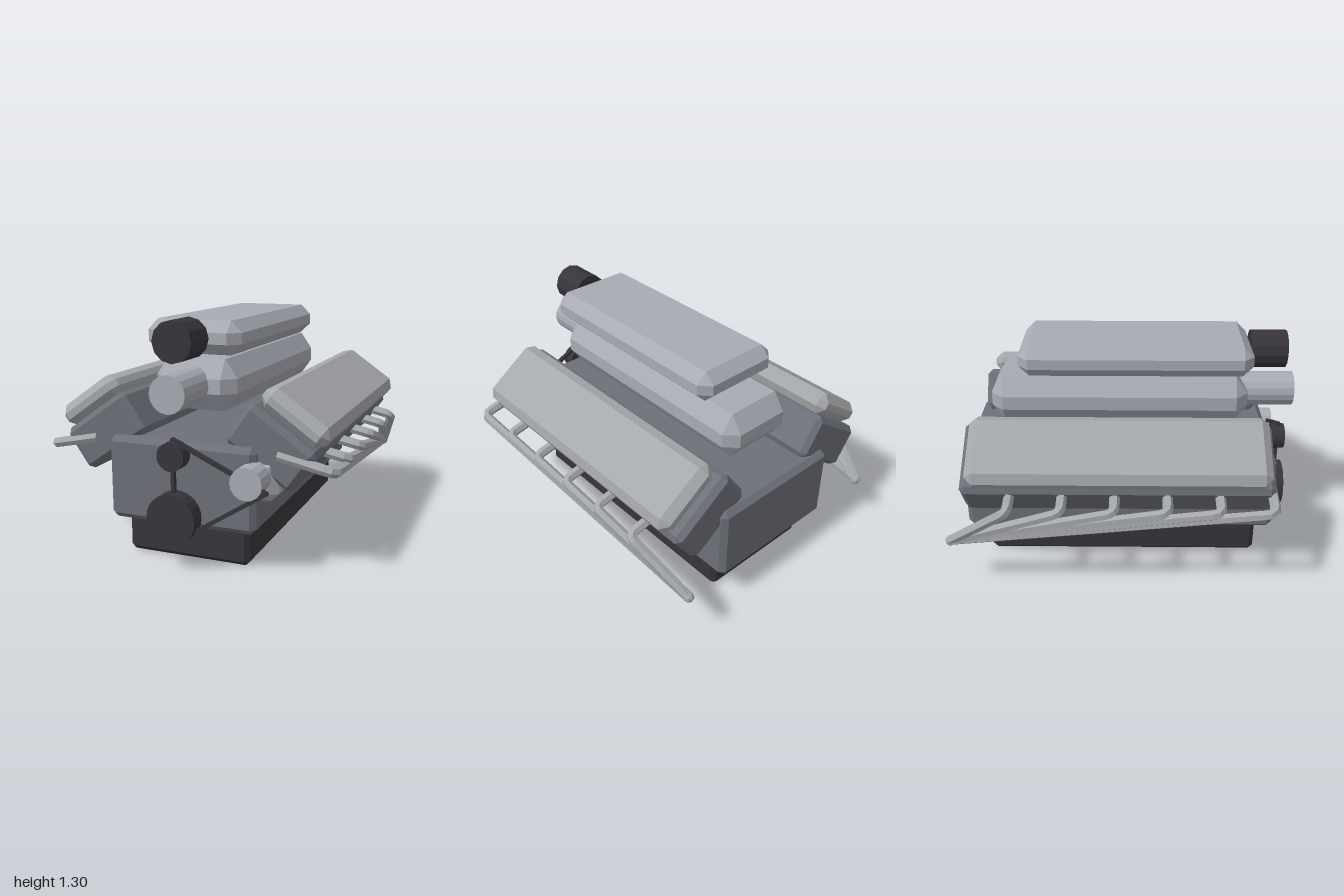
import * as THREE from 'three';
import { ConvexGeometry } from 'three/addons/geometries/ConvexGeometry.js';

function material(name, color) {
  const m = new THREE.MeshStandardMaterial({ color, flatShading: true });
  m.name = name;
  return m;
}

// Box with every edge chamfered, spanning w x h x d around its centre
function chamferBox(w, h, d, bx, by = bx, bz = bx) {
  const points = [];
  for (const x of [-1, 1]) for (const y of [-1, 1]) for (const z of [-1, 1]) {
    const X = w / 2, Y = h / 2, Z = d / 2;
    points.push(
      new THREE.Vector3(x * X, y * (Y - by), z * (Z - bz)),
      new THREE.Vector3(x * (X - bx), y * Y, z * (Z - bz)),
      new THREE.Vector3(x * (X - bx), y * (Y - by), z * Z));
  }
  return new ConvexGeometry(points);
}

// Tube through straight runs joined by small rounded bends
function bentPipe(points, bend, radius, segments) {
  const path = new THREE.CurvePath();
  let from = points[0];
  for (let i = 1; i < points.length - 1; i++) {
    const p = points[i];
    const a = p.clone().add(points[i - 1].clone().sub(p).setLength(bend));
    const b = p.clone().add(points[i + 1].clone().sub(p).setLength(bend));
    path.add(new THREE.LineCurve3(from, a));
    path.add(new THREE.QuadraticBezierCurve3(a, p, b));
    from = b;
  }
  path.add(new THREE.LineCurve3(from, points[points.length - 1]));
  return new THREE.TubeGeometry(path, segments, radius, 6, false);
}

export function createModel() {
  const castIron = material('castIron', 0x6d7079);
  const alloy = material('alloy', 0xa8abb4);
  const steel = material('steel', 0xa5a8ab);
  const black = material('blackRubber', 0x37353b);

  const model = new THREE.Group();
  model.name = 'engine';

  function add(name, geometry, mat, x = 0, y = 0, z = 0, parent = model) {
    const mesh = new THREE.Mesh(geometry, mat);
    mesh.name = name;
    mesh.position.set(x, y, z);
    parent.add(mesh);
    return mesh;
  }
  // Cylinder lying along z from z0 to z1
  function addDrum(name, radius, z0, z1, sides, mat, x, y) {
    const g = new THREE.CylinderGeometry(radius, radius, z1 - z0, sides);
    g.rotateX(Math.PI / 2);
    return add(name, g, mat, x, y, (z0 + z1) / 2);
  }

  // Block and oil pan
  add('oilPan', chamferBox(0.71, 0.21, 1.6, 0.025), black, 0, 0.105, -0.01);
  add('engineBlock', chamferBox(0.84, 0.46, 1.81, 0.03), castIron, 0, 0.44, -0.027);

  // Intake plenums with their inlets
  add('lowerPlenum', chamferBox(0.47, 0.28, 1.49, 0.07, 0.1, 0.07), alloy, 0, 0.94, -0.03);
  addDrum('throttleBody', 0.1, 0.65, 1.0, 16, alloy, 0, 0.94);
  add('upperPlenum', chamferBox(0.54, 0.18, 1.335, 0.06), alloy, 0, 1.195, 0.063);
  addDrum('airInlet', 0.11, 0.73, 0.94, 12, black, 0, 1.195);

  // Pulleys, belt and alternator
  addDrum('crankPulley', 0.137, 0.9, 0.99, 24, black, 0, 0.283);
  addDrum('waterPumpPulley', 0.076, 0.9, 0.98, 24, black, 0, 0.615);
  addDrum('alternator', 0.086, 0.83, 0.967, 16, alloy, 0.405, 0.515);
  add('alternatorHousing', chamferBox(0.235, 0.235, 0.21, 0.045), alloy, 0.407, 0.503, 0.735);
  const corners = [[0, 0.145], [0, 0.7], [0.507, 0.472]];
  const belt = new THREE.Group();
  belt.name = 'belt';
  model.add(belt);
  corners.forEach(([x, y], i) => {
    const [x2, y2] = corners[(i + 1) % 3];
    const g = new THREE.BoxGeometry(Math.hypot(x2 - x, y2 - y) + 0.012, 0.02, 0.024);
    add('beltRun', g, black, (x + x2) / 2, (y + y2) / 2, 0.942, belt)
      .rotation.z = Math.atan2(y2 - y, x2 - x);
  });

  // Cylinder banks, mirrored left and right
  const tilt = THREE.MathUtils.degToRad(35);
  for (const side of [1, -1]) {
    const bank = new THREE.Group();
    bank.name = side > 0 ? 'leftBank' : 'rightBank';
    model.add(bank);

    add('cylinderHead', chamferBox(0.44, 0.26, 1.725, 0.03), castIron,
      side * 0.475, 0.67, -0.033, bank).rotation.z = -side * tilt;
    add('valveCover', chamferBox(0.41, 0.13, 1.65, 0.045), steel,
      side * 0.592, 0.822, -0.027, bank).rotation.z = -side * tilt;

    // Six exhaust runners gathering at the rear
    for (let i = 0; i < 6; i++) {
      const z = 0.815 - i * 0.288;
      const points = [
        new THREE.Vector3(side * 0.52, 0.637, z),
        new THREE.Vector3(side * 0.815, 0.575, z),
        new THREE.Vector3(side * 0.705, 0.315, -0.97)];
      add('exhaustRunner', bentPipe(points, 0.05, 0.029, 60), steel, 0, 0, 0, bank);
    }
    add('exhaustCollector', new THREE.SphereGeometry(0.03, 8, 6), steel,
      side * 0.705, 0.315, -0.97, bank);
  }
  return model;
}
